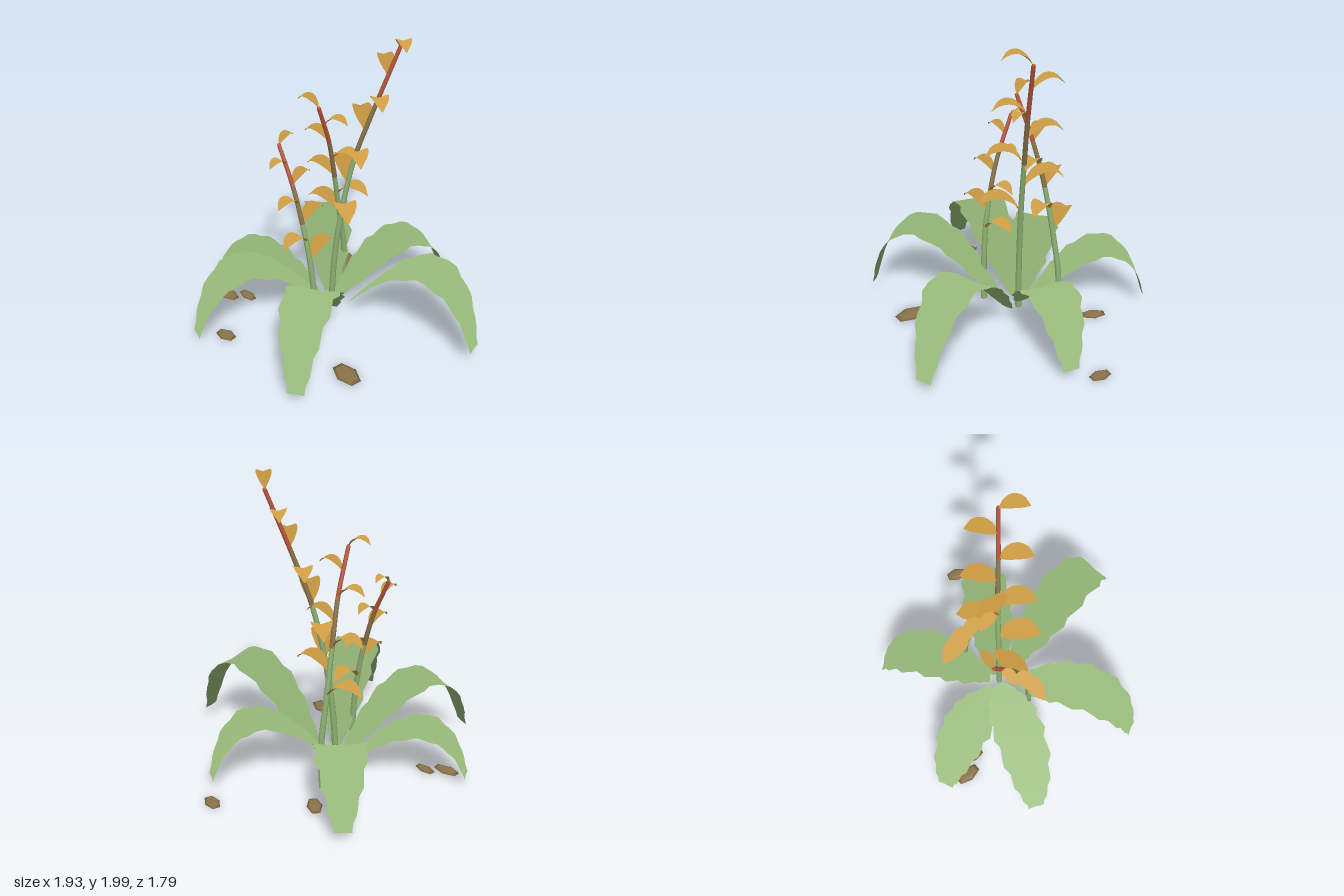
import * as THREE from 'three';

const mat = (name, color, side = THREE.FrontSide) => {
  const m = new THREE.MeshStandardMaterial({ color, side });
  m.name = name;
  return m;
};

// Arched, folded blade: pts are [distance, height], widths are half-widths along the blade.
// Its normals are even over the whole blade, up and slightly outward, for soft foliage.
function blade(base, dir, pts, widths, { rows, fold, tooth = 0 }) {
  const curve = new THREE.CatmullRomCurve3(pts.map(([r, y]) => new THREE.Vector3(r, y, 0)));
  const wCurve = new THREE.SplineCurve(widths.map((w, i) => new THREE.Vector2(i, w)));
  const side = new THREE.Vector3(-dir.z, 0, dir.x);
  const soft = new THREE.Vector3(0, 1, 0).addScaledVector(dir, 0.25).normalize();
  const cols = [-1, -0.5, 0, 0.5, 1];
  const pos = [], nor = [], index = [];
  for (let i = 0; i <= rows; i++) {
    const u = i / rows;
    const p = curve.getPointAt(u), t = curve.getTangentAt(u);
    // saw teeth widen over three rows, then step back
    const w = Math.max(wCurve.getPoint(u).y, 0.002) * (1 + tooth * ((i % 3) - 1));
    for (const c of cols) {
      const lift = Math.abs(c) * w * fold;
      const v = base.clone()
        .addScaledVector(dir, p.x - t.y * lift)
        .addScaledVector(side, c * w);
      v.y += p.y + t.x * lift;
      pos.push(v.x, v.y, v.z);
      nor.push(soft.x, soft.y, soft.z);
    }
  }
  const n = cols.length;
  for (let i = 0; i < rows; i++) for (let j = 0; j < n - 1; j++) {
    const a = i * n + j, b = a + 1, c = a + n, d = c + 1;
    index.push(a, b, c, b, d, c);
  }
  const g = new THREE.BufferGeometry();
  g.setAttribute('position', new THREE.Float32BufferAttribute(pos, 3));
  g.setAttribute('normal', new THREE.Float32BufferAttribute(nor, 3));
  g.setIndex(index);
  return g;
}

// Tapered tube along the part of a curve between u0 and u1
function stemPiece(curve, u0, u1, radius) {
  const seg = 8, sides = 7;
  const pts = [];
  for (let i = 0; i <= seg; i++) pts.push(curve.getPointAt(u0 + (u1 - u0) * i / seg));
  const sub = new THREE.CatmullRomCurve3(pts);
  const g = new THREE.TubeGeometry(sub, seg, 1, sides);
  const p = g.attributes.position, v = new THREE.Vector3();
  for (let k = 0; k < p.count; k++) {
    const f = Math.floor(k / (sides + 1)) / seg;
    const c = sub.getPointAt(f);
    v.fromBufferAttribute(p, k).sub(c).multiplyScalar(radius(u0 + (u1 - u0) * f)).add(c);
    p.setXYZ(k, v.x, v.y, v.z);
  }
  return g;
}

export function createModel() {
  const root = new THREE.Group();
  root.name = 'plant';
  const leafGreen = mat('leafGreen', 0x96b878, THREE.DoubleSide);
  const stemGreen = mat('stemGreen', 0x8eb172);
  const stemBrown = mat('stemBrown', 0x8c754a);
  const stemRed = mat('stemRed', 0xb9563b);
  const ochre = mat('ochre', 0xce9d44, THREE.DoubleSide);
  const seedBrown = mat('seedBrown', 0x8a7248);

  const add = (name, geometry, material, parent = root) => {
    const m = new THREE.Mesh(geometry, material);
    m.name = name;
    parent.add(m);
    return m;
  };

  // Big arching ground leaves: base x, z, tip x, z, peak height
  const arch = [[0, 0.13], [0.18, 0.48], [0.42, 0.86], [0.65, 1], [0.82, 0.84], [0.92, 0.58], [1, 0.17]];
  [
    [0.04, -0.11, 0.84, 0.03, 0.44],
    [0.04, -0.17, 0.39, -0.87, 0.45],
    [-0.05, -0.17, -0.60, -0.72, 0.365],
    [-0.04, -0.12, -0.96, -0.18, 0.51],
    [-0.05, 0.0, -0.67, 0.64, 0.575],
    [0.08, 0.02, 0.50, 0.86, 0.585],
  ].forEach(([bx, bz, tx, tz, h], i) => {
    const dir = new THREE.Vector3(tx - bx, 0, tz - bz);
    const len = dir.length();
    dir.normalize();
    add('groundLeaf' + (i + 1), blade(new THREE.Vector3(bx, 0, bz), dir,
      arch.map(([r, y]) => [r * len, y * h]), [0.045, 0.12, 0.16, 0.155, 0.108, 0.055],
      { rows: 22, fold: 0.08, tooth: 0.08 }), leafGreen);
  });

  // Flower stems in three colours, with leaflets alternating across the lean
  [
    [[0.01, 0, -0.11], [0.03, 0.4, -0.1], [0.08, 0.8, -0.08], [0.15, 1.15, -0.055], [0.25, 1.47, -0.01], [0.40, 1.9, 0.05]],
    [[0.22, 0, -0.3], [0.22, 0.3, -0.29], [0.17, 0.62, -0.27], [0.11, 0.95, -0.235], [0.04, 1.25, -0.185], [-0.06, 1.53, -0.13]],
    [[-0.2, 0, 0.04], [-0.205, 0.28, 0.035], [-0.22, 0.55, 0.01], [-0.24, 0.8, -0.04], [-0.26, 1.03, -0.11], [-0.29, 1.29, -0.23]],
  ].forEach((pts, s) => {
    const group = new THREE.Group();
    group.name = 'flowerStem' + (s + 1);
    root.add(group);
    const curve = new THREE.CatmullRomCurve3(pts.map(p => new THREE.Vector3(...p)));
    const radius = u => 0.022 - 0.009 * u;
    [['lowerStem', 0, 0.6, stemGreen], ['middleStem', 0.6, 0.8, stemBrown], ['upperStem', 0.8, 1, stemRed]]
      .forEach(([name, a, b, m]) => add(name, stemPiece(curve, a, b, radius), m, group));
    const top = curve.getPointAt(1), foot = curve.getPointAt(0);
    const cap = add('stemTip', new THREE.SphereGeometry(radius(1), 7, 4), stemRed, group);
    cap.position.copy(top);
    const base = add('stemFoot', new THREE.CircleGeometry(radius(0), 7), stemGreen, group);
    base.position.copy(foot);
    base.rotation.x = Math.PI / 2;

    const lean = top.clone().sub(foot);
    const across = new THREE.Vector3(-lean.z, 0, lean.x).normalize();
    for (let i = 0; i < 7; i++) {
      const f = i / 6;
      const at = curve.getPointAt(0.4 + 0.6 * f);
      const L = top.y * 0.092 + 0.1 * (1 - f) + 0.006;
      const dir = across.clone().multiplyScalar(i % 2 ? -1 : 1);
      add('leaflet' + (i + 1), blade(at, dir,
        [[0, 0], [0.2 * L, 0.25 * L], [0.52 * L, 0.43 * L], [0.8 * L, 0.38 * L], [L, 0.22 * L]],
        [0.012 * L, 0.175 * L, 0.26 * L, 0.205 * L, 0.003],
        { rows: 10, fold: 0.3 }), ochre, group);
    }
  });

  // Fallen six-sided seeds on the ground: x, z, width, length, turn
  [
    [-0.27, 0.57, 0.145, 0.21, 0.1],
    [0.91, -0.14, 0.095, 0.14, 0],
    [0.37, -0.48, 0.1, 0.16, -0.35],
    [-0.575, -0.55, 0.1, 0.17, 0.35],
    [-0.77, -0.16, 0.1, 0.14, 0.4],
    [-0.46, -0.47, 0.08, 0.14, 0.2],
  ].forEach(([x, z, w, l, turn], i) => {
    const g = new THREE.SphereGeometry(0.5, 6, 4);
    g.scale(w, 0.025, l * 1.12);
    const m = add('seed' + (i + 1), g, seedBrown);
    m.position.set(x, 0.0125, z);
    m.rotation.y = turn;
  });

  return root;
}
